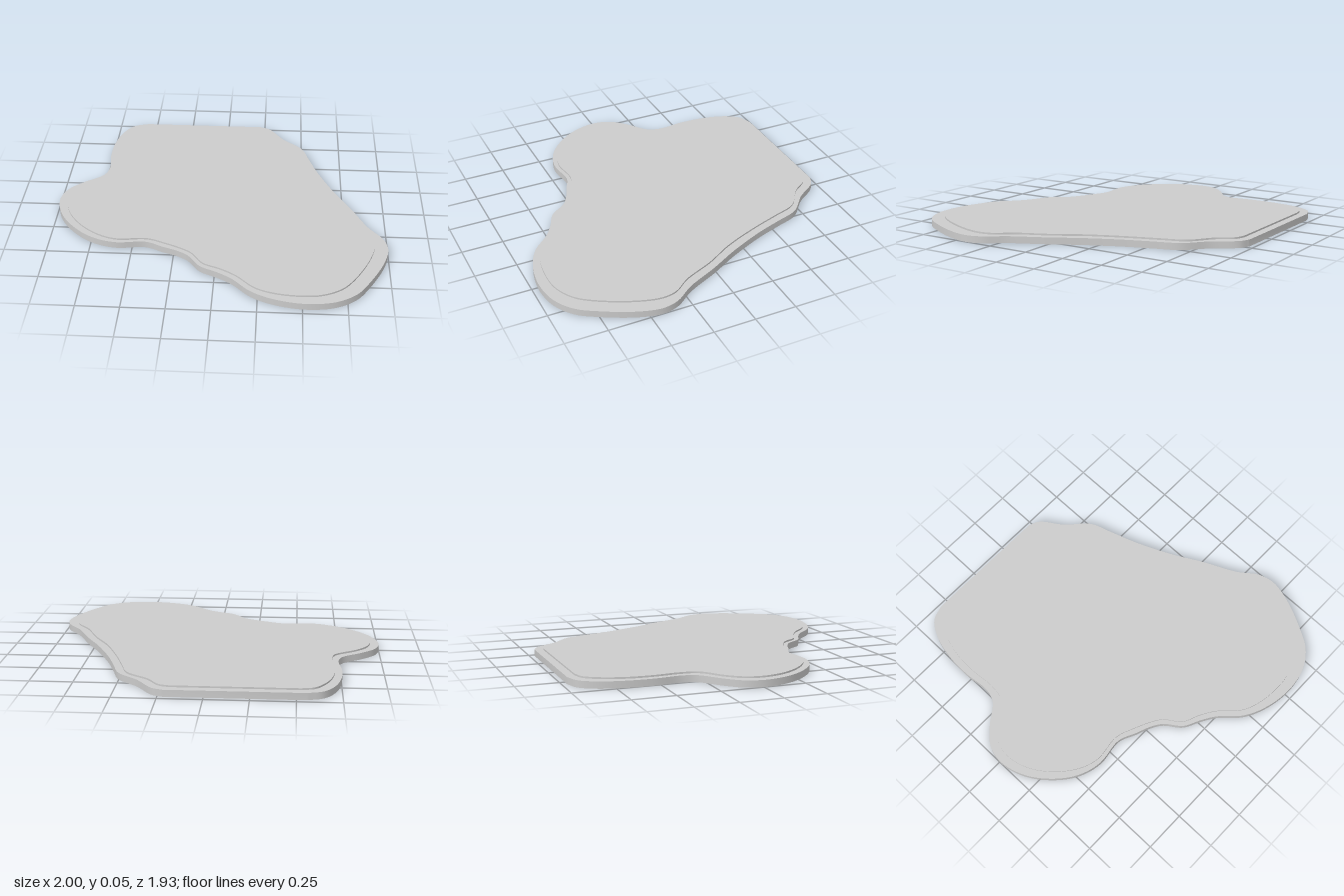
import * as THREE from 'three';
import { toCreasedNormals } from 'three/addons/utils/BufferGeometryUtils.js';

// Outlines as x, z pairs; the curve is open and the straight back edge closes it.
const RIM = [
  0.22, -0.97, 0.283, -0.94, 0.38, -0.807, 0.5, -0.69, 0.55, -0.55, 0.604, -0.39, 0.7, -0.17,
  0.8, 0.016, 0.893, 0.21, 0.977, 0.33, 1, 0.43, 0.968, 0.567, 0.877, 0.754, 0.8, 0.866,
  0.684, 0.94, 0.524, 0.965, 0.348, 0.936, 0.214, 0.872, 0.1, 0.76, 0.016, 0.706,
  -0.086, 0.652, -0.16, 0.556, -0.225, 0.513, -0.316, 0.476, -0.42, 0.432, -0.594, 0.447,
  -0.727, 0.41, -0.85, 0.32, -0.957, 0.176, -1, 0.016, -0.973, -0.1, -0.893, -0.19,
  -0.77, -0.29, -0.743, -0.374, -0.757, -0.535, -0.749, -0.695, -0.71, -0.845,
  -0.647, -0.936, -0.556, -0.97,
];
const INNER = [
  0.19, -0.922, 0.25, -0.9, 0.32, -0.807, 0.45, -0.7, 0.5, -0.56, 0.56, -0.38, 0.652, -0.155,
  0.75, 0.016, 0.834, 0.203, 0.91, 0.31, 0.925, 0.4, 0.893, 0.535, 0.797, 0.733, 0.717, 0.834,
  0.604, 0.893, 0.48, 0.905, 0.342, 0.888, 0.235, 0.845, 0.123, 0.738, 0.032, 0.68,
  -0.07, 0.632, -0.144, 0.535, -0.21, 0.492, -0.3, 0.45, -0.417, 0.408, -0.588, 0.422,
  -0.7, 0.385, -0.818, 0.294, -0.91, 0.166, -0.947, 0.027, -0.925, -0.08, -0.856, -0.166,
  -0.727, -0.267, -0.706, -0.364, -0.717, -0.535, -0.706, -0.68, -0.663, -0.813,
  -0.6, -0.9, -0.524, -0.922,
];

// A flat slab with a smooth outline between two heights
function slab(name, outline, bottom, top, material) {
  const points = [];
  for (let i = 0; i < outline.length; i += 2) {
    points.push(new THREE.Vector3(outline[i], outline[i + 1], 0));
  }
  const curve = new THREE.CatmullRomCurve3(points, false, 'centripetal');
  const shape = new THREE.Shape(curve.getPoints(228).map((p) => new THREE.Vector2(p.x, p.y)));
  const extruded = new THREE.ExtrudeGeometry(shape, { depth: top - bottom, bevelEnabled: false });
  // lay flat: outline y becomes z, depth runs downwards from the top
  extruded.rotateX(Math.PI / 2).translate(0, top, 0);
  const mesh = new THREE.Mesh(toCreasedNormals(extruded, Math.PI / 5), material);
  mesh.name = name;
  return mesh;
}

export function createModel() {
  const group = new THREE.Group();
  group.name = 'steppedSlab';
  const material = new THREE.MeshStandardMaterial({ color: 0xcccccc });
  // Base with exposed rim, and the slightly raised top set into it
  group.add(slab('base', RIM, 0, 0.04, material));
  group.add(slab('raisedTop', INNER, 0.03, 0.05, material));
  return group;
}
